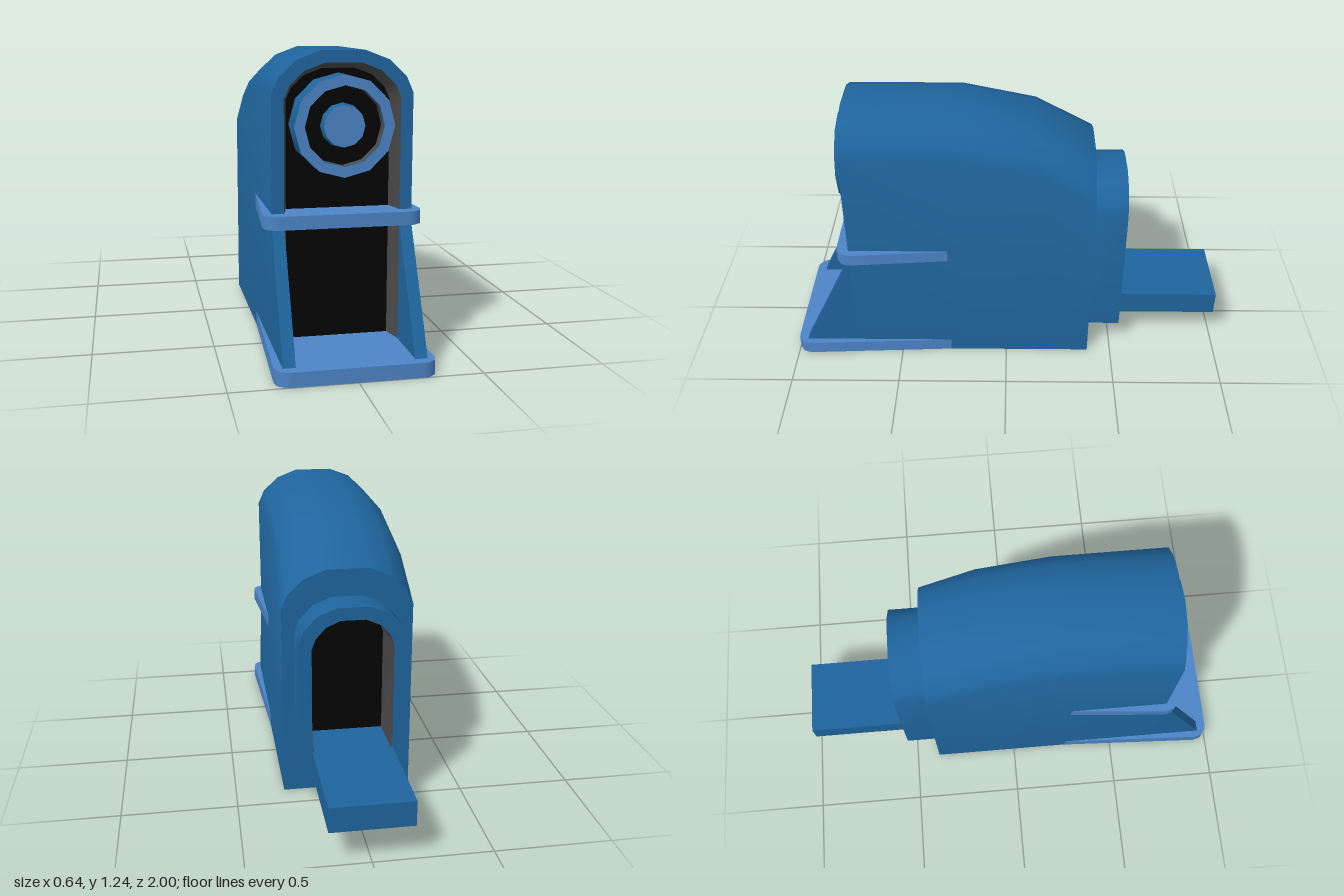
import * as THREE from 'three';
import { toCreasedNormals } from 'three/addons/utils/BufferGeometryUtils.js';

const mat = (name, color, side = THREE.FrontSide) => {
  const m = new THREE.MeshStandardMaterial({ color, side });
  m.name = name;
  return m;
};

// Arch outline from lower right, over the crown, to lower left
function arch(w, top, bottom, rise = w * 0.59) {
  const right = [[w, bottom], [w, top - rise], [w * 0.9, top - rise * 0.62], [w * 0.65, top - rise * 0.22], [w * 0.31, top]];
  return [...right, ...mirror(right)];
}
const mirror = pts => pts.map(([x, y]) => [-x, y]).reverse();
const toShape = pts => new THREE.Shape(pts.map(([x, y]) => new THREE.Vector2(x, y)));

// Skin through arches placed along z, front to back
function loft(sections, inward = false) {
  const pos = [], idx = [], n = sections[0].pts.length;
  sections.forEach(s => s.pts.forEach(([x, y]) => pos.push(x, y, s.z)));
  for (let i = 0; i < sections.length - 1; i++) {
    for (let j = 0; j < n - 1; j++) {
      const a = i * n + j, b = a + 1, c = a + n, d = c + 1;
      if (inward) idx.push(a, b, c, b, d, c);
      else idx.push(a, c, b, b, c, d);
    }
  }
  const g = new THREE.BufferGeometry();
  g.setAttribute('position', new THREE.Float32BufferAttribute(pos, 3));
  g.setIndex(idx);
  return toCreasedNormals(g, 0.75);
}

export function createModel() {
  const group = new THREE.Group();
  const blue = mat('body blue', 0x1f659e, THREE.DoubleSide);
  const light = mat('trim light blue', 0x4c84c6);
  const black = mat('inner black', 0x040404, THREE.DoubleSide);
  const grey = mat('inner grey', 0x4c4c4c, THREE.DoubleSide);
  const add = (name, geo, material, x = 0, y = 0, z = 0) => {
    const m = new THREE.Mesh(geo, material);
    m.name = name;
    m.position.set(x, y, z);
    group.add(m);
    return m;
  };
  const box = (name, w, h, d, material, x, y, z) => add(name, new THREE.BoxGeometry(w, h, d), material, x, y, z);
  const extrude = (shape, depth) => new THREE.ExtrudeGeometry(shape, { depth, bevelEnabled: false });

  // Housing shell, open underneath, with its sloping rear crown
  const W = 0.285;
  add('housing', loft([[0.71, 1.238], [0.2, 1.238], [-0.13, 1.168], [-0.39, 1.025]]
    .map(([z, top]) => ({ z, pts: arch(W, top, 0) }))), blue);

  // Front rim around the open mouth
  const mouth = arch(0.235, 1.19, 0.55);
  add('frontRim', new THREE.ShapeGeometry(toShape([...arch(W, 1.238, 0.55), ...mouth.slice().reverse()])), blue, 0, 0, 0.71);

  // Tapered lining and dark panel inside the mouth
  add('mouthLining', loft([
    { z: 0.71, pts: arch(0.235, 1.19, 0.01) },
    { z: 0.62, pts: arch(0.213, 1.165, 0.01) },
  ], true), grey);
  add('mouthPanel', new THREE.ShapeGeometry(toShape(arch(0.216, 1.168, 0.01))), black, 0, 0, 0.62);

  // Slanted cheeks below the shelf
  const cheek = new THREE.Shape([[0.71, 0.02], [0.975, 0.02], [0.71, 0.55]].map(p => new THREE.Vector2(...p)));
  for (const x of [W, -0.235]) {
    const g = extrude(cheek, 0.05);
    g.rotateY(-Math.PI / 2);
    add('cheek', g, blue, x);
  }

  // Flared outline with softened front corners, shared by base and shelf
  const outline = (half, front) =>
    [[0.286, 0.265], [half, front - 0.06], [half - 0.01, front - 0.025], [half - 0.04, front - 0.003], [half - 0.06, front]];
  function plate(name, pts, top, thick) {
    const g = extrude(toShape(pts), thick);
    g.rotateX(Math.PI / 2);
    add(name, toCreasedNormals(g, 0.7), light, 0, top);
  }
  const shelf = outline(0.322, 0.765);
  plate('shelf', [...shelf, ...mirror(shelf)], 0.602, 0.055);

  // Base: a lip around three sides with a raised floor and a dark slot below it
  const base = outline(0.318, 1);
  plate('baseLip', [...base, ...mirror(base), [-0.27, 0.265], [-0.27, 0.975], [0.27, 0.975], [0.27, 0.265]], 0.06, 0.06);
  box('baseFloor', 0.54, 0.03, 0.71, light, 0, 0.045, 0.62);
  box('baseSlot', 0.44, 0.006, 0.1, black, 0, 0.028, 0.665);

  // Twelve-sided ring set in the mouth
  const circle = r => Array.from({ length: 12 }, (_, i) =>
    new THREE.Vector2(Math.cos(i * Math.PI / 6) * r, Math.sin(i * Math.PI / 6) * r));
  const ring = new THREE.Shape(circle(0.202));
  ring.holes.push(new THREE.Path(circle(0.16)));
  add('ringBody', toCreasedNormals(extrude(ring, 0.12), 0.7), blue, 0, 0.945, 0.622);
  add('ringFace', new THREE.ShapeGeometry(ring), light, 0, 0.945, 0.745);
  const bore = new THREE.CylinderGeometry(0.158, 0.158, 0.045, 12, 1, true);
  bore.rotateX(Math.PI / 2);
  add('ringBore', bore, grey, 0, 0.945, 0.7195);
  add('ringFloor', new THREE.CircleGeometry(0.16, 12), black, 0, 0.945, 0.697);

  // Centre hub with a light cap
  const hub = new THREE.CylinderGeometry(0.083, 0.1, 0.1, 12);
  hub.rotateX(Math.PI / 2);
  add('hub', toCreasedNormals(hub, 0.7), blue, 0, 0.945, 0.685);
  add('hubCap', new THREE.CircleGeometry(0.083, 12), light, 0, 0.945, 0.738);

  // Rear wall and collar, both pierced by the rear opening
  const opening = arch(0.176, 0.85, 0.14, 0.12);
  const hole = () => new THREE.Path(opening.map(p => new THREE.Vector2(...p)));
  const wall = toShape(arch(W, 1.025, 0));
  wall.holes.push(hole());
  const wallGeo = new THREE.ShapeGeometry(wall);
  wallGeo.rotateY(Math.PI);
  add('rearWall', wallGeo, blue, 0, 0, -0.39);
  const collar = toShape(arch(0.23, 0.905, 0.125, 0.15));
  collar.holes.push(hole());
  add('collar', toCreasedNormals(extrude(collar, 0.15), 0.7), blue, 0, 0, -0.54);
  add('openingLining', loft([
    { z: -0.34, pts: arch(0.165, 0.84, 0.14, 0.12) },
    { z: -0.535, pts: arch(0.174, 0.848, 0.14, 0.12) },
  ], true), grey);
  add('openingPanel', new THREE.ShapeGeometry(toShape(arch(0.168, 0.843, 0.14, 0.12))), black, 0, 0, -0.34);

  // Rear tongue, hollow underneath
  box('tongueTop', 0.35, 0.05, 0.46, blue, 0, 0.235, -0.77);
  box('tongueInner', 0.33, 0.05, 0.2, blue, 0, 0.235, -0.44);
  for (const s of [1, -1]) box('tongueSide', 0.025, 0.06, 0.46, blue, s * 0.1625, 0.18, -0.77);
  box('tongueEnd', 0.3, 0.06, 0.025, blue, 0, 0.18, -0.9875);

  return group;
}
